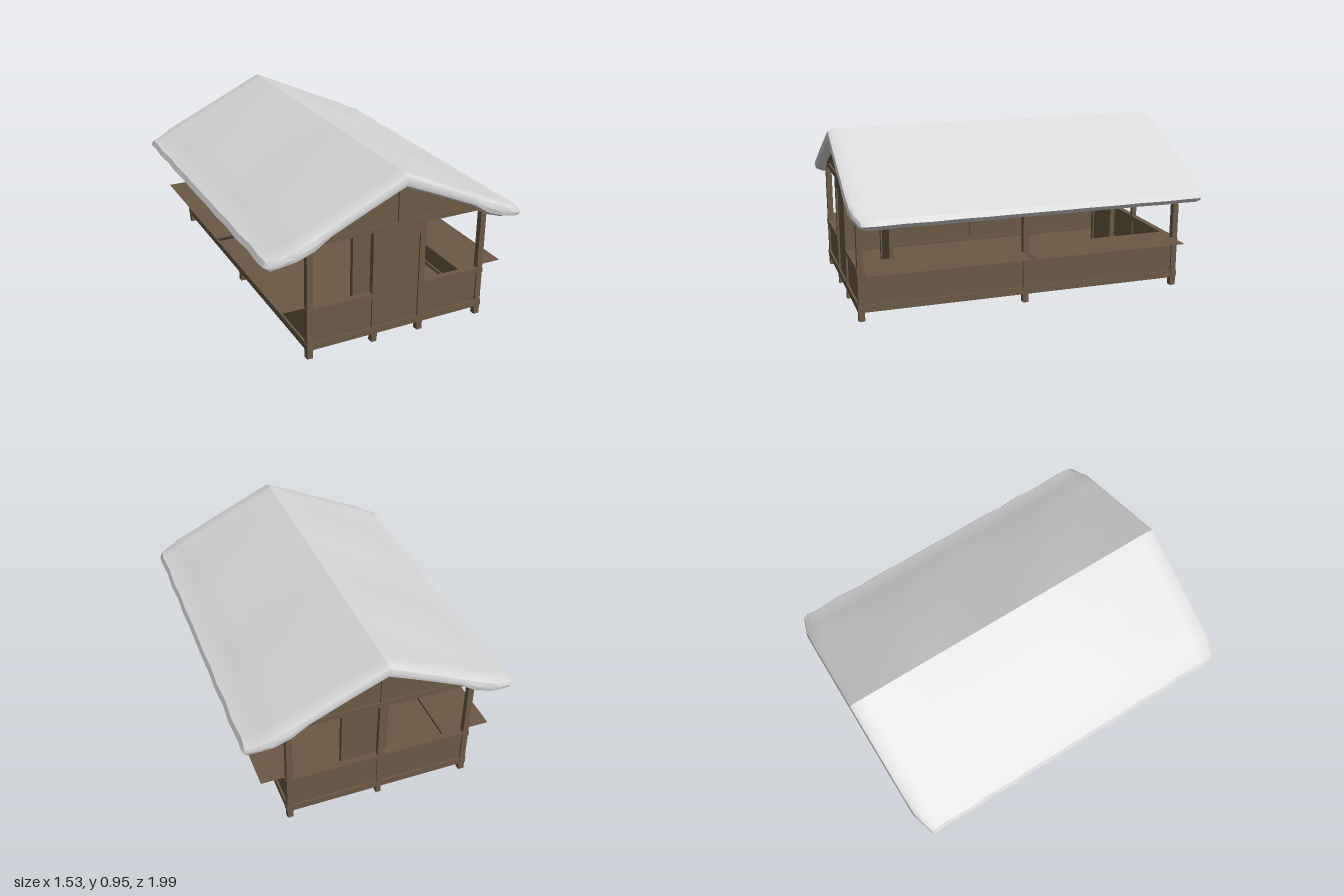
import * as THREE from 'three';
import { toCreasedNormals } from 'three/addons/utils/BufferGeometryUtils.js';

const wood = new THREE.MeshStandardMaterial({ color: 0x6b5945, side: THREE.DoubleSide });
wood.name = 'brown wood';
const snow = new THREE.MeshStandardMaterial({ color: 0xdadada, side: THREE.DoubleSide });
snow.name = 'snow';

// Box given by its extents along each axis
function box(parent, name, x0, x1, y0, y1, z0, z1) {
  const mesh = new THREE.Mesh(new THREE.BoxGeometry(x1 - x0, y1 - y0, z1 - z0), wood);
  mesh.position.set((x0 + x1) / 2, (y0 + y1) / 2, (z0 + z1) / 2);
  mesh.name = name;
  parent.add(mesh);
  return mesh;
}

function post(parent, name, x, z, y0, y1, w = 0.033) {
  return box(parent, name, x - w / 2, x + w / 2, y0, y1, z - w / 2, z + w / 2);
}

// Soft snow-laden roof: a thick gabled section lofted along z, closed at both ends
function snowRoof() {
  const top = [[0, 0.955], [0.2, 0.868], [0.42, 0.765], [0.52, 0.717], [0.63, 0.665], [0.67, 0.64], [0.745, 0.612]];
  const bottom = [[0, 0.877], [0.2, 0.79], [0.42, 0.69], [0.51, 0.625], [0.6, 0.595], [0.66, 0.58], [0.735, 0.557]];
  const tip = [0.76, 0.583];
  const n = top.length;
  const sections = [[-0.997, 0], [-0.99, 0.65], [-0.965, 1]];
  for (let i = -6; i <= 6; i++) sections.push([i * 0.15, 1]);
  sections.push([0.965, 1], [0.99, 0.65], [0.997, 0]);

  const positions = [], index = [];
  sections.forEach(([z, thick]) => {
    const shrink = (p, k) => {
      const m = [(top[k][0] + bottom[k][0]) / 2, (top[k][1] + bottom[k][1]) / 2];
      return [m[0] + (p[0] - m[0]) * thick, m[1] + (p[1] - m[1]) * thick];
    };
    const t = top.map(shrink), b = bottom.map(shrink);
    const edge = [tip[0] - 0.02 * (1 - thick), tip[1]];
    const mirror = ([x, y]) => [-x, y];
    const loop = [...t, edge, ...b.slice().reverse(),
      ...b.slice(1).map(mirror), mirror(edge), ...t.slice(1).reverse().map(mirror)];
    loop.forEach(([x, y], j) => {
      const a = Math.abs(x);
      const taper = 1 - 0.04 * THREE.MathUtils.smoothstep(a, 0.6, 0.76);
      const upper = j < n || j > loop.length - n;
      // Gentle sag in the middle of the slopes and a slightly wavy eave
      const sag = upper ? 0.008 * Math.sin(Math.PI * Math.min(a / 0.63, 1)) * Math.cos(z * 7) : 0;
      const wave = a > 0.7 ? Math.sign(x) * 0.004 * Math.sin(z * 23) : 0;
      positions.push(x + wave, y - sag, z * taper);
    });
  });
  const count = positions.length / 3 / sections.length;
  for (let i = 0; i < sections.length - 1; i++) {
    for (let j = 0; j < count; j++) {
      const k = (j + 1) % count;
      const a = i * count + j, b = i * count + k, c = b + count, d = a + count;
      index.push(a, d, c, a, c, b);
    }
  }
  const geometry = new THREE.BufferGeometry();
  geometry.setAttribute('position', new THREE.Float32BufferAttribute(positions, 3));
  geometry.setIndex(index);
  const mesh = new THREE.Mesh(toCreasedNormals(geometry, 0.65), snow);
  mesh.name = 'snowRoof';
  return mesh;
}

// Triangular gable infill with a centre post and sloping rafters
function gable(z, out) {
  const group = new THREE.Group();
  group.name = z > 0 ? 'frontGable' : 'backGable';
  const shape = new THREE.Shape([[-0.51, 0.65], [0.51, 0.65], [0, 0.885]].map(p => new THREE.Vector2(...p)));
  const panel = new THREE.Mesh(new THREE.ExtrudeGeometry(shape, { depth: 0.012, bevelEnabled: false }), wood);
  panel.position.z = z - 0.006;
  panel.name = 'gablePanel';
  group.add(panel);
  box(group, 'gablePost', -0.014, 0.014, 0.675, 0.875, z - 0.016, z + 0.016);
  box(group, 'tieBeam', -0.53, 0.53, 0.643, 0.676, z - 0.016, z + 0.016);
  for (const s of [-1, 1]) {
    const rafter = box(group, 'rafter', -0.275, 0.275, -0.014, 0.014, -0.016, 0.016);
    rafter.position.set(s * 0.255, 0.757, z);
    rafter.rotation.z = -s * Math.atan2(0.235, 0.51);
  }
  return group;
}

export function createModel() {
  const model = new THREE.Group();
  model.name = 'marketHut';
  const X = 0.515, Z = 0.925;

  box(model, 'floor', -X, X, 0.05, 0.07, -Z, Z);

  // Side walls, rails, counters and corner posts, mirrored left and right
  for (const s of [-1, 1]) {
    const side = new THREE.Group();
    side.name = s > 0 ? 'leftSide' : 'rightSide';
    const x = s * X;
    for (const z of [-Z, 0, Z]) post(side, 'sidePost', x, z, 0, 0.66);
    box(side, 'sideWall', x - 0.006, x + 0.006, 0.05, 0.29, -Z, Z);
    box(side, 'bottomRail', x - 0.018, x + 0.018, 0.05, 0.088, -0.945, 0.945);
    box(side, 'topRail', x - 0.018, x + 0.018, 0.262, 0.29, -0.945, 0.945);
    box(side, 'wallPlate', x - 0.016, x + 0.016, 0.643, 0.676, -Z, Z);
    for (const h of [-1, 1]) {
      const counter = new THREE.Mesh(new THREE.PlaneGeometry(0.27, 0.9), wood);
      counter.rotation.x = -Math.PI / 2;
      counter.position.set(s * 0.53, 0.292, h * 0.465);
      counter.name = 'counter';
      side.add(counter);
    }
    model.add(side);
  }

  // Front wall with door frame
  const front = new THREE.Group();
  front.name = 'frontWall';
  box(front, 'frontBottomRail', -0.535, 0.535, 0.05, 0.088, Z - 0.018, Z + 0.018);
  for (const s of [-1, 1]) {
    post(front, 'doorPost', s * 0.14, Z, 0, 0.65);
    const a = s * 0.14, b = s * X;
    box(front, 'lowPanel', Math.min(a, b), Math.max(a, b), 0.05, 0.29, Z - 0.006, Z + 0.006);
    box(front, 'frontTopRail', Math.min(a, b), Math.max(a, b) , 0.262, 0.29, Z - 0.018, Z + 0.018);
  }
  box(front, 'door', -0.124, 0.124, 0.088, 0.59, Z - 0.008, Z + 0.006);
  box(front, 'doorHeader', -0.124, 0.124, 0.59, 0.645, Z - 0.016, Z + 0.016);
  model.add(front);

  // Back wall
  const back = new THREE.Group();
  back.name = 'backWall';
  post(back, 'backPost', 0, -Z, 0, 0.66, 0.028);
  box(back, 'backPanel', -X, X, 0.05, 0.29, -Z - 0.006, -Z + 0.006);
  box(back, 'backBottomRail', -0.535, 0.535, 0.05, 0.088, -Z - 0.018, -Z + 0.018);
  box(back, 'backTopRail', -0.535, 0.535, 0.262, 0.29, -Z - 0.018, -Z + 0.018);
  model.add(back);

  // Inner partitions framed by posts
  for (const z of [0.675, -0.71]) {
    const partition = new THREE.Group();
    partition.name = 'innerPartition';
    for (const s of [-1, 1]) post(partition, 'partitionPost', s * 0.125, z, 0.07, 0.65, 0.028);
    box(partition, 'partitionPanel', -0.125, 0.125, 0.07, 0.65, z - 0.006, z + 0.006);
    model.add(partition);
  }

  model.add(gable(Z), gable(-Z), snowRoof());
  return model;
}
